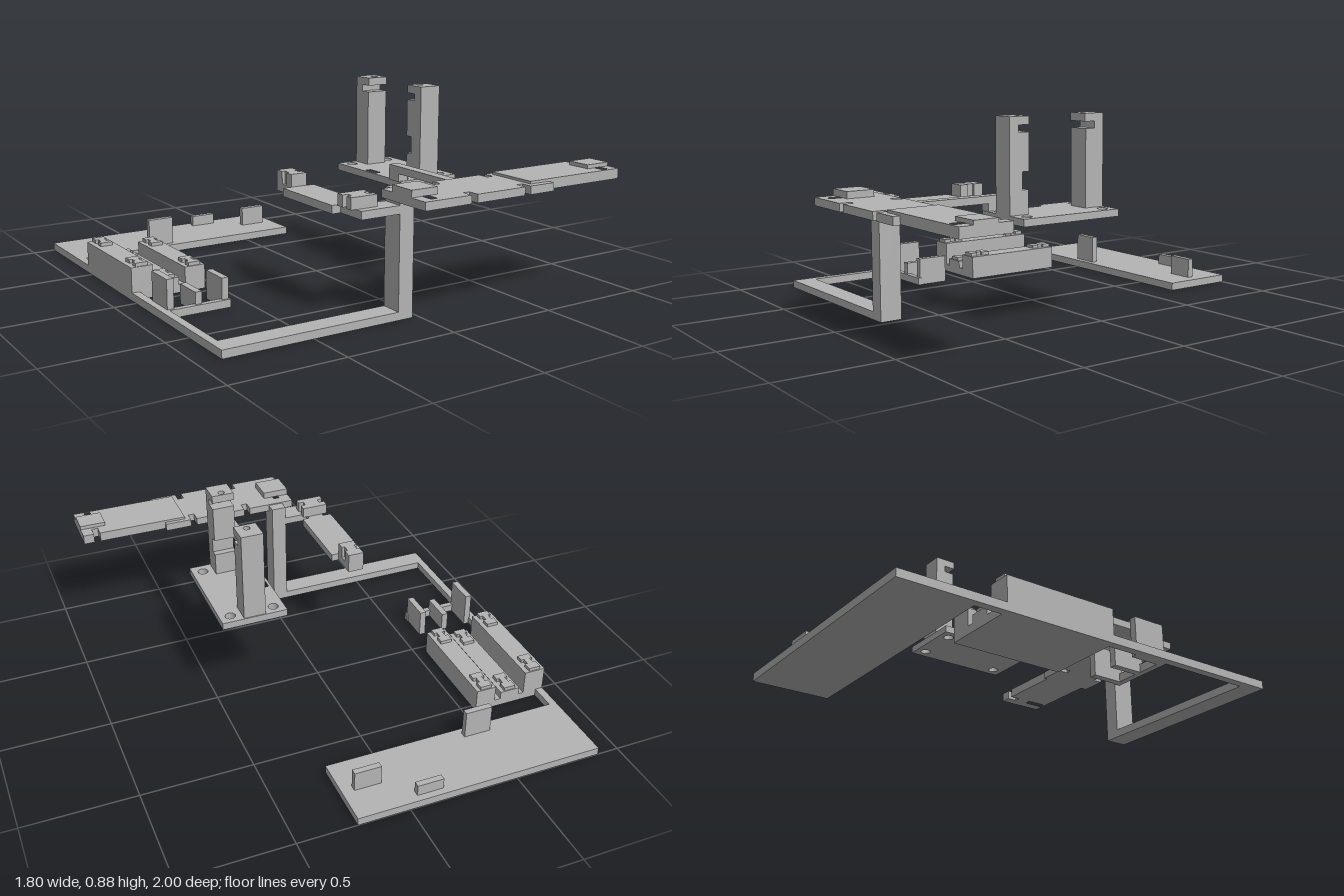
import * as THREE from 'three';

export function createModel() {
  const model = new THREE.Group();
  const grey = new THREE.MeshStandardMaterial({ color: 0xb4b4b4 });
  grey.name = 'plain grey';

  function add(name, geometry) {
    const mesh = new THREE.Mesh(geometry, grey);
    mesh.name = name;
    model.add(mesh);
    return mesh;
  }
  // box given by its limits on each axis
  function box(name, x0, x1, y0, y1, z0, z1) {
    const g = new THREE.BoxGeometry(x1 - x0, y1 - y0, z1 - z0);
    g.translate((x0 + x1) / 2, (y0 + y1) / 2, (z0 + z1) / 2);
    return add(name, g);
  }
  // flat plate from an [x, z] outline, with holes, between two heights
  function plate(name, points, y0, y1, holes = []) {
    const toVec = ([x, z]) => new THREE.Vector2(x, -z);
    const shape = new THREE.Shape(points.map(toVec));
    for (const h of holes) {
      if (h.r) shape.holes.push(new THREE.Path().absarc(h.x, -h.z, h.r, 0, Math.PI * 2));
      else shape.holes.push(new THREE.Path(h.map(toVec)));
    }
    const g = new THREE.ExtrudeGeometry(shape, { depth: y1 - y0, bevelEnabled: false, curveSegments: 12 });
    g.rotateX(-Math.PI / 2).translate(0, y0, 0);
    return add(name, g);
  }
  const rect = (x0, x1, z0, z1) => [[x0, z0], [x1, z0], [x1, z1], [x0, z1]];
  // block with a notch in each side
  function waisted(name, x0, x1, y0, y1, z0, z1, cut) {
    const a = z0 + (z1 - z0) * 0.38, b = z0 + (z1 - z0) * 0.68;
    plate(name, [[x0, z0], [x1, z0], [x1, a], [x1 - cut, a], [x1 - cut, b], [x1, b],
      [x1, z1], [x0, z1], [x0, b], [x0 + cut, b], [x0 + cut, a], [x0, a]], y0, y1);
  }

  // ground frame
  const T = 0.035;
  box('rearBasePlate', -0.9, 0.235, 0, T, -1, -0.66);
  box('sideRail', -0.9, -0.865, 0, T, -0.66, 0.67);
  box('frontRail', -0.9, -0.03, 0, T, 0.67, 0.77);
  box('column', -0.1, -0.03, T, 0.535, 0.67, 0.77);

  // upright tabs on the rear plate
  for (const [x0, x1, z, h] of [[-0.525, -0.4, -0.703, 0.165], [0.06, 0.182, -0.83, 0.125], [-0.165, -0.045, -0.955, 0.085]])
    box('uprightTab', x0, x1, T, h, z - 0.014, z + 0.014);

  // three-bar tray and the matching three-pronged comb
  box('trayFloor', -0.9, -0.555, 0, T, -0.54, -0.04);
  box('combBar', -0.87, -0.585, 0, T, 0.23, 0.257);
  for (const [x0, x1, h, p] of [[-0.9, -0.8, 0.145, -0.855], [-0.775, -0.68, 0.07, -0.728], [-0.65, -0.555, 0.11, -0.605]]) {
    box('trayBar', x0, x1, T, h, -0.54, -0.04);
    const c = (x0 + x1) / 2;
    waisted('trayClip', c - 0.028, c + 0.028, h, h + 0.016, -0.535, -0.43, 0.014);
    waisted('trayClip', c - 0.028, c + 0.028, h, h + 0.016, -0.15, -0.045, 0.014);
    box('combProng', p - 0.015, p + 0.015, 0, h + 0.018, 0.1, 0.245);
  }

  // lower cradle arm beside the column
  box('cradleLink', -0.285, -0.1, 0.44, 0.475, 0.67, 0.77);
  box('cradleNeck', -0.285, -0.21, 0.44, 0.475, 0.625, 0.67);
  box('cradlePlate', -0.325, -0.175, 0.44, 0.475, 0.25, 0.625);
  box('cradleTongue', -0.285, -0.21, 0.44, 0.475, 0.13, 0.25);
  waisted('cradleFrontBlock', -0.31, -0.185, 0.475, 0.525, 0.64, 0.735, 0.025);
  waisted('cradleRearBlock', -0.285, -0.21, 0.475, 0.53, 0.13, 0.25, 0.014);

  // upper platform with edge notches
  const notches = [0.085, 0.36], outline = [[-0.155, 0.72]];
  for (const x of notches)
    outline.push([x - 0.015, 0.72], [x - 0.015, 0.77], [x + 0.015, 0.77], [x + 0.015, 0.72]);
  outline.push([0.5, 0.72], [0.5, 1], [0.375, 1], [0.375, 0.95], [0.345, 0.95], [0.345, 1],
    [0.1, 1], [0.1, 0.95], [0.07, 0.95], [0.07, 1], [-0.155, 1]);
  plate('platform', outline, 0.505, 0.54, [rect(-0.105, -0.075, 0.77, 0.97)]);
  box('platformClip', -0.155, -0.03, 0.54, 0.57, 0.79, 0.915);
  plate('platformExtension', [[0.4, 0.74], [0.82, 0.74], [0.82, 0.79], [0.85, 0.79], [0.85, 0.74],
    [0.9, 0.74], [0.9, 0.97], [0.4, 0.97]], 0.507, 0.551, [rect(0.82, 0.85, 0.86, 0.96)]);
  box('extensionClip', 0.78, 0.9, 0.551, 0.568, 0.805, 0.91);

  // arm to the post stand
  box('standArm', 0.175, 0.222, 0.505, 0.538, 0.32, 0.72);
  box('standArmDrop', 0.175, 0.222, 0.47, 0.505, 0.32, 0.39);

  // drilled stand plate
  const holes = [rect(0.197, 0.224, 0.11, 0.185)];
  for (const x of [0.235, 0.435]) for (const z of [-0.053, 0.345]) holes.push({ x, z, r: 0.023 });
  plate('standPlate', rect(0.185, 0.485, -0.1, 0.395), 0.44, 0.472, holes);

  // posts: side profile of [z, y] swept across x, with a drilled cap
  function post(name, profile) {
    const shape = new THREE.Shape(profile.map(([z, y]) => new THREE.Vector2(-z, y)));
    const g = new THREE.ExtrudeGeometry(shape, { depth: 0.1, bevelEnabled: false });
    g.rotateY(Math.PI / 2).translate(0.285, 0, 0);
    add(name, g);
  }
  post('frontPost', [[0.395, 0.472], [0.3, 0.472], [0.3, 0.575], [0.33, 0.575], [0.33, 0.65],
    [0.297, 0.65], [0.297, 0.812], [0.35, 0.812], [0.35, 0.842], [0.395, 0.842]]);
  post('rearPost', [[-0.095, 0.472], [0, 0.472], [0, 0.812], [-0.048, 0.812], [-0.048, 0.842], [-0.095, 0.842]]);
  plate('frontPostCap', rect(0.285, 0.385, 0.297, 0.395), 0.842, 0.877, [{ x: 0.335, z: 0.32, r: 0.015 }]);
  plate('rearPostCap', rect(0.285, 0.385, -0.095, 0.005), 0.842, 0.877, [{ x: 0.335, z: -0.025, r: 0.015 }]);

  return model;
}
